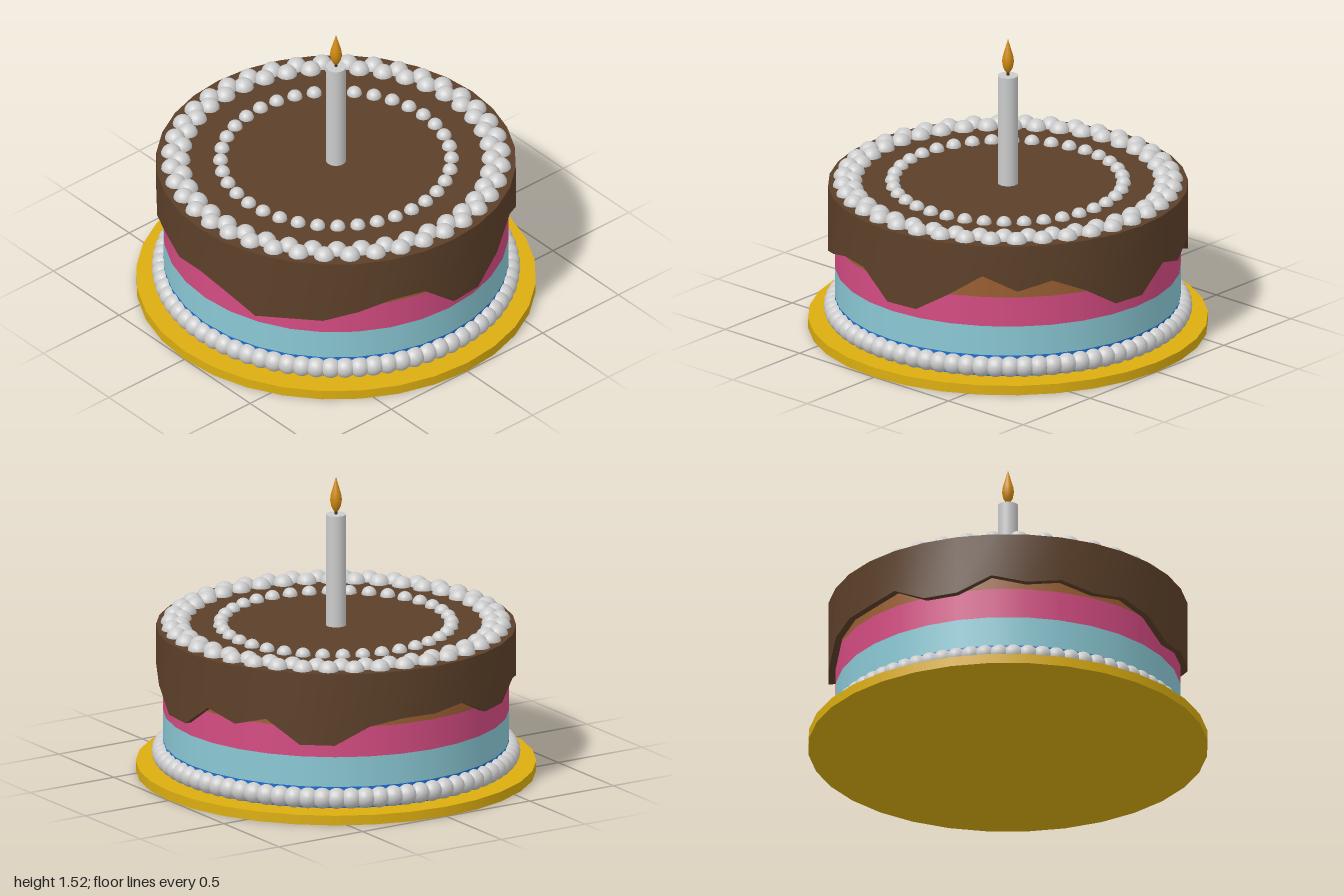
import * as THREE from 'three';
import { toCreasedNormals } from 'three/addons/utils/BufferGeometryUtils.js';

const SIDES = 32;
const TOP = 0.755;
const mat = (color = 0xcccccc, extra = {}) => new THREE.MeshStandardMaterial({ color, ...extra });

function add(parent, name, geometry, material, y = 0) {
  const mesh = new THREE.Mesh(geometry, material);
  mesh.name = name;
  mesh.position.y = y;
  parent.add(mesh);
  return mesh;
}

// Upright cylinder given by its bottom and top heights
function disc(parent, name, radius, y0, y1, color, sides = SIDES) {
  const geo = new THREE.CylinderGeometry(radius, radius, y1 - y0, sides);
  return add(parent, name, geo, mat(color), (y0 + y1) / 2);
}

// Ring of piped cream beads
function beadRing(parent, name, count, ringRadius, beadRadius, y, offset = 0) {
  const ring = new THREE.Group();
  ring.name = name;
  const geo = new THREE.SphereGeometry(beadRadius, 16, 12);
  const material = mat();
  for (let i = 0; i < count; i++) {
    const a = ((i + offset) / count) * Math.PI * 2;
    const bead = add(ring, 'creamBead', geo, material, y);
    bead.position.x = Math.sin(a) * ringRadius;
    bead.position.z = Math.cos(a) * ringRadius;
    bead.rotation.y = a;
  }
  parent.add(ring);
}

// Icing shell: flat top, outer wall, uneven dripping hem, inner wall
function icingGeometry() {
  // Hem height at each side, counted from the front towards +x
  const hem = [
    0.375, 0.375, 0.48, 0.595, 0.515, 0.565, 0.49, 0.385,
    0.385, 0.505, 0.455, 0.505, 0.385, 0.385, 0.48, 0.51,
    0.51, 0.535, 0.45, 0.45, 0.53, 0.495, 0.52, 0.48,
    0.5, 0.46, 0.375, 0.405, 0.41, 0.46, 0.51, 0.51,
  ];
  const rOut = 0.9, rIn = 0.866;
  const pos = [], index = [];
  for (let i = 0; i < SIDES; i++) {
    const a = (i / SIDES) * Math.PI * 2;
    const section = [[0, TOP], [rOut, TOP], [rOut, hem[i]], [rIn, hem[i]], [rIn, TOP - 0.03]];
    for (const [r, y] of section) pos.push(Math.sin(a) * r, y, Math.cos(a) * r);
  }
  const n = 5;
  for (let i = 0; i < SIDES; i++) {
    const p = i * n, q = ((i + 1) % SIDES) * n;
    index.push(p, p + 1, q + 1);
    for (let k = 1; k < n - 1; k++) {
      index.push(p + k, p + k + 1, q + k, q + k, p + k + 1, q + k + 1);
    }
  }
  const geo = new THREE.BufferGeometry();
  geo.setAttribute('position', new THREE.Float32BufferAttribute(pos, 3));
  geo.setIndex(index);
  return toCreasedNormals(geo, 0.6);
}

export function createModel() {
  const cake = new THREE.Group();
  cake.name = 'birthdayCake';

  // Cake board
  disc(cake, 'cakeBoard', 1, 0, 0.05, 0xdcae10);

  // Sponge layers, bottom to top
  const layers = [
    ['darkBlueLayer', 0.05, 0.16, 0x1a6fd6],
    ['lightBlueLayer', 0.16, 0.315, 0x8ac8d4],
    ['pinkLayer', 0.315, 0.47, 0xd44c82],
    ['brownLayer', 0.47, 0.74, 0x9a5f32],
  ];
  for (const [name, y0, y1, color] of layers) disc(cake, name, 0.864, y0, y1, color);

  // Chocolate icing
  add(cake, 'chocolateIcing', icingGeometry(), mat(0x5c4029, { side: THREE.DoubleSide }));

  // Cream piping
  beadRing(cake, 'bottomPiping', 76, 0.868, 0.053, 0.103);
  beadRing(cake, 'outerTopPiping', 40, 0.825, 0.052, 0.752);
  beadRing(cake, 'innerTopPiping', 40, 0.778, 0.052, 0.752, 0.5);
  beadRing(cake, 'centrePiping', 36, 0.577, 0.038, 0.757);

  // Candle, wick and flame
  const candle = new THREE.Group();
  candle.name = 'candle';
  cake.add(candle);
  disc(candle, 'candleStick', 0.051, TOP - 0.01, 1.33, 0xcccccc, 24);
  disc(candle, 'wick', 0.007, 1.32, 1.36, 0x4a3018, 8);
  const flame = [[0, 1.34], [0.014, 1.352], [0.025, 1.375], [0.03, 1.405], [0.026, 1.435],
    [0.016, 1.468], [0.006, 1.503], [0, 1.525]].map(([r, y]) => new THREE.Vector2(r, y));
  add(candle, 'flame', new THREE.LatheGeometry(flame, 16), mat(0xd08a12));

  return cake;
}
